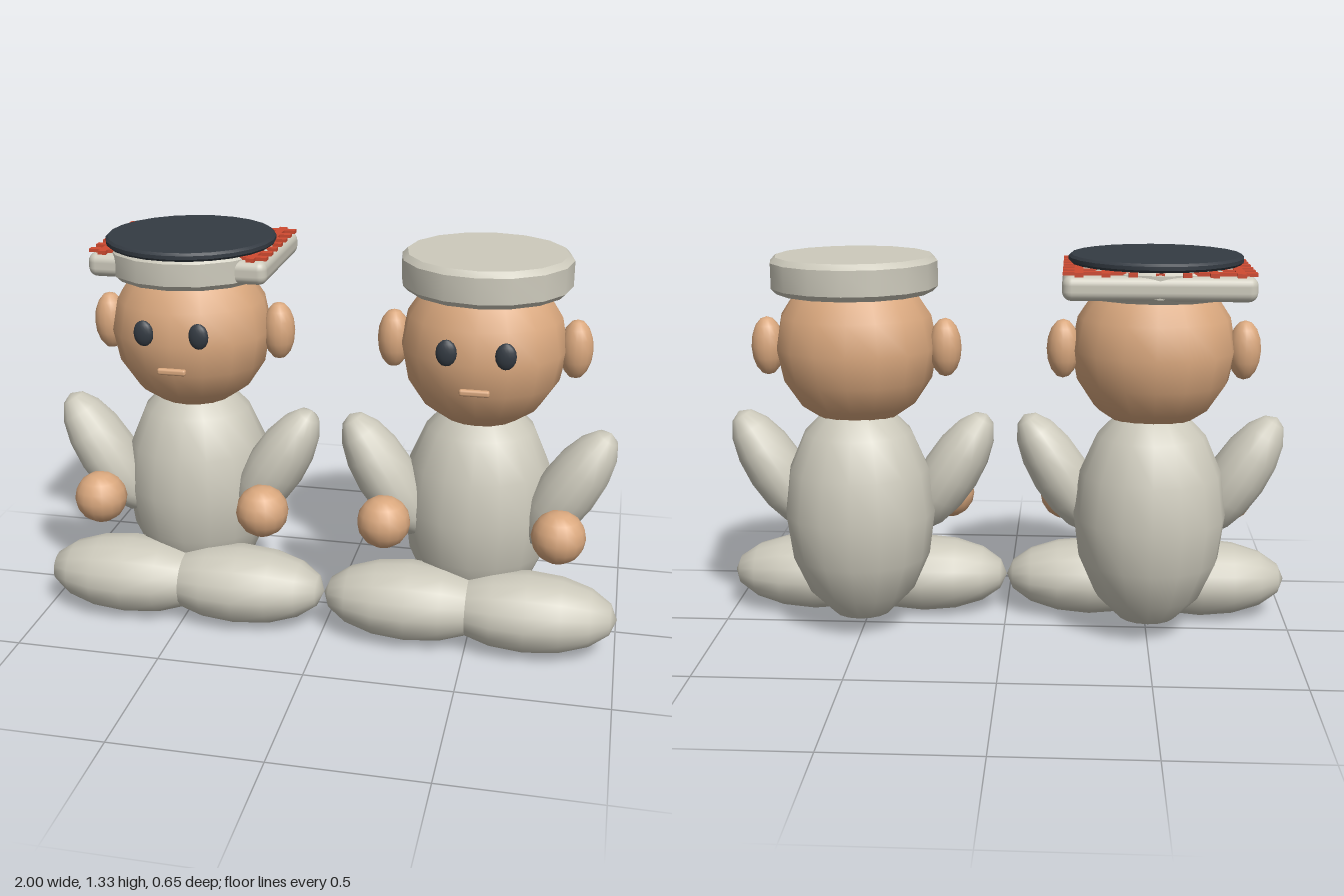
import * as THREE from 'three';
import { toCreasedNormals } from 'three/addons/utils/BufferGeometryUtils.js';
import { RoundedBoxGeometry } from 'three/addons/geometries/RoundedBoxGeometry.js';

const material = (name, color) => {
  const m = new THREE.MeshStandardMaterial({ color });
  m.name = name;
  return m;
};

const cloth = material('pale grey cloth', 0xcdcabc);
const skin = material('skin', 0xdaa87e);
const dark = material('dark slate', 0x343b43);
const red = material('red lattice', 0xcf4a30);

function add(parent, name, geometry, mat, x, y, z) {
  const mesh = new THREE.Mesh(geometry, mat);
  mesh.name = name;
  mesh.position.set(x, y, z);
  parent.add(mesh);
  return mesh;
}

// Low-segment ellipsoid with smooth normals
const blob = (rx, ry, rz) => new THREE.SphereGeometry(1, 16, 8).scale(rx, ry, rz);

// Disc with bevelled rims, standing on y = 0
function disc(r, h, bevel, sides) {
  const profile = [[0, 0], [r - bevel, 0], [r, bevel], [r, h - bevel], [r - bevel, h], [0, h]];
  const lathe = new THREE.LatheGeometry(profile.map(([a, b]) => new THREE.Vector2(a, b)), sides);
  return toCreasedNormals(lathe, 0.6);
}

function createFigure(name) {
  const g = new THREE.Group();
  g.name = name;
  add(g, 'body', blob(0.26, 0.4, 0.245), cloth, 0, 0.44, -0.04);
  add(g, 'head', blob(0.275, 0.28, 0.25), skin, 0, 1.015, -0.02);
  add(g, 'mouth', new RoundedBoxGeometry(0.098, 0.022, 0.02, 2, 0.008), skin, 0, 0.93, 0.225);

  // Mirrored parts
  for (const [side, s] of [['left', 1], ['right', -1]]) {
    add(g, side + 'Eye', blob(0.034, 0.044, 0.018), dark, s * 0.094, 1.055, 0.217);
    add(g, side + 'Ear', blob(0.055, 0.1, 0.056), skin, s * 0.302, 1.015, -0.035);
    const arm = add(g, side + 'Arm', blob(0.1, 0.242, 0.117), cloth, s * 0.31, 0.557, 0.055);
    arm.rotation.z = -s * 0.545;
    add(g, side + 'Hand', blob(0.09, 0.09, 0.09), skin, s * 0.29, 0.44, 0.19);
    const leg = add(g, side + 'Leg', blob(0.135, 0.3, 0.16), cloth, s * 0.2, 0.14, 0.162);
    leg.rotation.z = Math.PI / 2;
  }
  return g;
}

// Plain round cap
function createRoundCap() {
  const g = new THREE.Group();
  g.name = 'roundCap';
  add(g, 'capBand', disc(0.28, 0.12, 0.018, 16), cloth, 0, 1.205, -0.04);
  return g;
}

// Cap with a square board behind, a lattice and a dark top
function createBoardCap() {
  const g = new THREE.Group();
  g.name = 'boardCap';
  add(g, 'capBand', disc(0.28, 0.11, 0.018, 16), cloth, 0, 1.205, -0.04);
  add(g, 'board', new RoundedBoxGeometry(0.61, 0.08, 0.475, 3, 0.03), cloth, 0, 1.255, -0.0875);
  add(g, 'capTop', disc(0.287, 0.028, 0.008, 24), dark, 0, 1.307, -0.04);

  const lattice = new THREE.Group();
  lattice.name = 'lattice';
  g.add(lattice);
  for (let i = 0; i < 7; i++) {
    add(lattice, 'latticeColumn', new THREE.BoxGeometry(0.028, 0.013, 0.46), red,
      (i - 3) * 0.084, 1.299, -0.087);
    add(lattice, 'latticeRow', new THREE.BoxGeometry(0.606, 0.011, 0.026), red,
      0, 1.3, -0.28 + i * 0.065);
  }
  return g;
}

export function createModel() {
  const model = new THREE.Group();
  model.name = 'seatedPair';
  const left = createFigure('leftFigure');
  left.position.x = 0.5;
  left.add(createRoundCap());
  const right = createFigure('rightFigure');
  right.position.x = -0.5;
  right.add(createBoardCap());
  model.add(left, right);
  return model;
}
